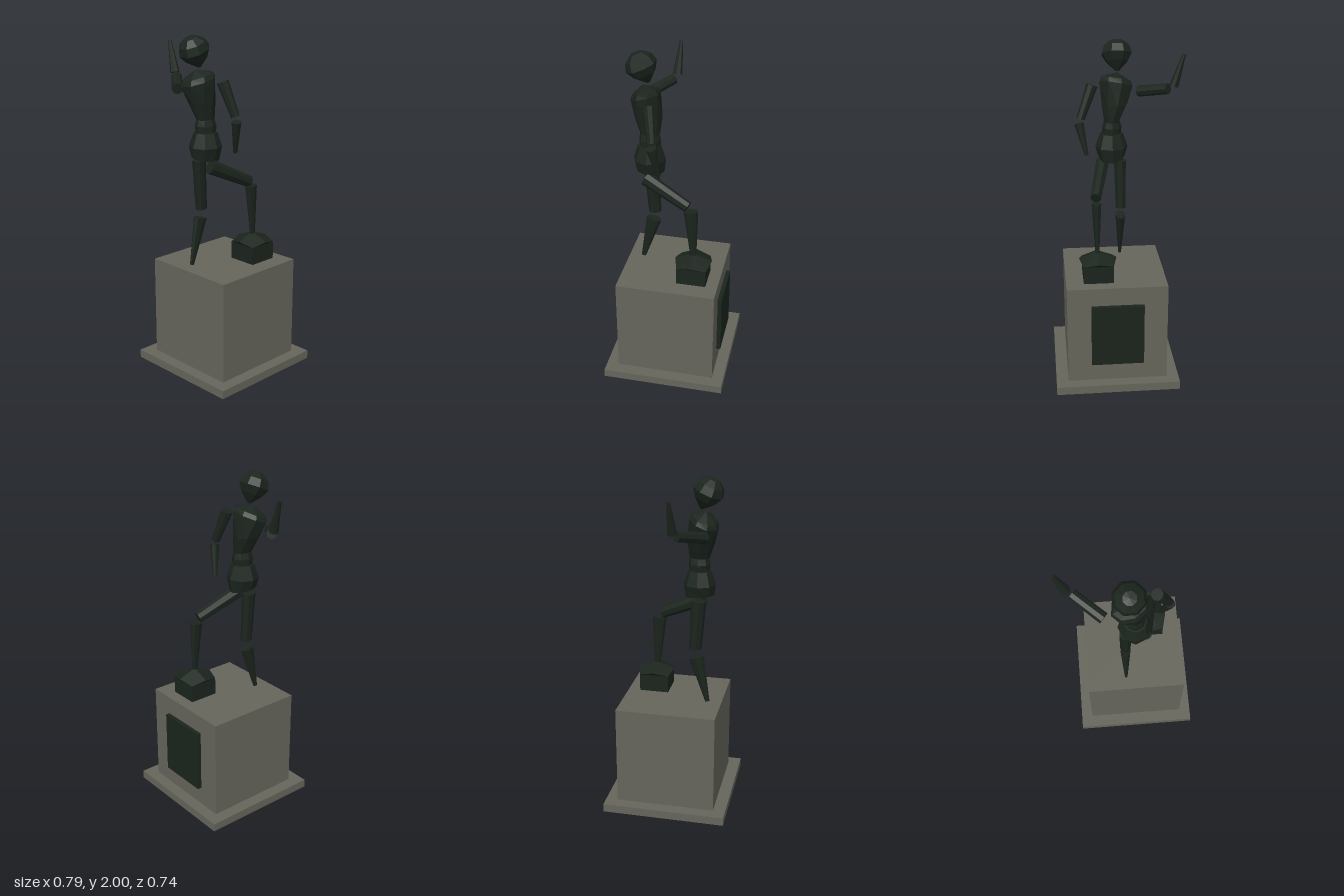
import * as THREE from 'three';

const bronze = new THREE.MeshStandardMaterial({ color: 0x1b241d, flatShading: true });
const stone = new THREE.MeshStandardMaterial({ color: 0x66655b, flatShading: true });
const V = (x, y, z) => new THREE.Vector3(x, y, z);

function add(parent, name, geometry, material, x = 0, y = 0, z = 0) {
  const mesh = new THREE.Mesh(geometry, material);
  mesh.name = name;
  mesh.position.set(x, y, z);
  parent.add(mesh);
  return mesh;
}

// Eight-sided elliptical section; tx and tz tilt it, yaw twists it
function ring(y, x, z, rx, rz, yaw = 0, tx = 0, tz = 0) {
  return Array.from({ length: 8 }, (_, i) => {
    const a = (i * Math.PI) / 4;
    const p = V(rx * Math.cos(a), 0, rz * Math.sin(a)).applyAxisAngle(V(0, 1, 0), yaw);
    return V(x + p.x, y + tx * p.x + tz * p.z, z + p.z);
  });
}

// Closed skin over a stack of sections, ending in a bottom and a top point
function loft(rings, bottom, top) {
  const out = [];
  const tri = (...pts) => pts.forEach((p) => out.push(p.x, p.y, p.z));
  const n = rings[0].length;
  const last = rings[rings.length - 1];
  for (let i = 0; i < n; i++) {
    const j = (i + 1) % n;
    tri(bottom, rings[0][i], rings[0][j]);
    for (let k = 0; k + 1 < rings.length; k++) {
      const a = rings[k], b = rings[k + 1];
      tri(a[i], b[i], b[j]);
      tri(a[i], b[j], a[j]);
    }
    tri(top, last[j], last[i]);
  }
  const g = new THREE.BufferGeometry();
  g.setAttribute('position', new THREE.Float32BufferAttribute(out, 3));
  g.computeVertexNormals();
  return g;
}

// Tapered limb from a to b; flat narrows it sideways
function limb(parent, name, a, b, ra, rb, flat = 1) {
  const d = b.clone().sub(a);
  const mesh = add(parent, name, new THREE.CylinderGeometry(rb, ra, d.length(), 8), bronze);
  mesh.scale.x = flat;
  mesh.quaternion.setFromUnitVectors(V(0, 1, 0), d.normalize());
  mesh.position.copy(a).add(b).multiplyScalar(0.5);
}

export function createModel() {
  const model = new THREE.Group();
  model.name = 'statue';

  // Pedestal
  add(model, 'basePlate', new THREE.BoxGeometry(0.736, 0.05, 0.736), stone, 0.024, 0.025, 0);
  add(model, 'pedestalBlock', new THREE.BoxGeometry(0.592, 0.606, 0.592), stone, 0.024, 0.352, -0.001);
  add(model, 'plaque', new THREE.BoxGeometry(0.31, 0.38, 0.026), bronze, 0.024, 0.355, -0.309);

  // Footrest rock: square body with a bulging rim and a low pointed top
  const rockRing = (y, midY, mid) => Array.from({ length: 8 }, (_, i) => {
    const a = (i * Math.PI) / 4;
    const r = i % 2 ? 0.088 * Math.SQRT2 : mid;
    return V(r * Math.cos(a), i % 2 ? y : midY, r * Math.sin(a));
  });
  const rock = [rockRing(0, 0, 0.088), rockRing(0.105, 0.105, 0.088), rockRing(0.105, 0.127, 0.11)];
  add(model, 'footRock', loft(rock, V(0, 0, 0), V(0, 0.168, 0)), bronze, 0.128, 0.655, -0.137);

  const figure = new THREE.Group();
  figure.name = 'figure';
  model.add(figure);

  // Head, leaning forward from the neck
  const headRings = [[0, 0.01], [0.055, 0.066], [0.1, 0.092], [0.145, 0.078], [0.177, 0.038]]
    .map(([y, r]) => ring(y, 0, 0, r, r, Math.PI / 8));
  const head = add(figure, 'head', loft(headRings, V(0, 0, 0), V(0, 0.185, 0)), bronze, -0.014, 1.823, 0.155);
  head.rotation.x = 0.4;

  // Torso, twisted and tilted at the shoulders
  const torso = [
    ring(1.53, 0.02, 0.143, 0.044, 0.058),
    ring(1.63, 0.002, 0.155, 0.077, 0.08, 0.15),
    ring(1.745, -0.009, 0.172, 0.105, 0.085, 0.33, 0.15, -0.3),
    ring(1.772, -0.01, 0.175, 0.096, 0.07, 0.33, 0.17, -0.3),
  ];
  add(figure, 'torso', loft(torso, V(0.02, 1.53, 0.143), V(-0.015, 1.81, 0.185)), bronze);

  const waist = [
    ring(1.455, 0.022, 0.143, 0.056, 0.06),
    ring(1.495, 0.02, 0.143, 0.058, 0.064),
    ring(1.532, 0.02, 0.143, 0.047, 0.056),
  ];
  add(figure, 'waist', loft(waist, V(0.022, 1.455, 0.143), V(0.02, 1.532, 0.143)), bronze);

  const hips = [
    ring(1.302, 0.019, 0.146, 0.073, 0.084, 0, -0.1, 0.1),
    ring(1.375, 0.021, 0.146, 0.096, 0.094),
    ring(1.457, 0.022, 0.145, 0.068, 0.068),
  ];
  add(figure, 'hips', loft(hips, V(0.019, 1.292, 0.146), V(0.022, 1.46, 0.145)), bronze);

  // Raised right arm
  limb(figure, 'rightUpperArm', V(-0.146, 1.69, 0.204), V(-0.3, 1.732, 0.075), 0.033, 0.031);
  limb(figure, 'rightForearm', V(-0.33, 1.752, 0.06), V(-0.384, 1.934, 0.05), 0.028, 0.01);

  // Lowered left arm
  limb(figure, 'leftUpperArm', V(0.135, 1.752, 0.12), V(0.205, 1.562, 0.09), 0.034, 0.025);
  limb(figure, 'leftForearm', V(0.214, 1.535, 0.09), V(0.174, 1.35, 0.06), 0.029, 0.012);

  // Standing right leg
  limb(figure, 'rightThigh', V(-0.03, 1.285, 0.15), V(-0.032, 0.99, 0.132), 0.044, 0.037, 0.85);
  limb(figure, 'rightCalf', V(-0.032, 0.937, 0.14), V(-0.034, 0.658, 0.209), 0.046, 0.014, 0.65);

  // Bent left leg resting on the rock
  limb(figure, 'leftThigh', V(0.076, 1.268, 0.16), V(0.134, 1.142, -0.1), 0.044, 0.035, 0.9);
  limb(figure, 'leftCalf', V(0.131, 1.113, -0.118), V(0.13, 0.81, -0.135), 0.042, 0.018, 0.68);

  return model;
}
